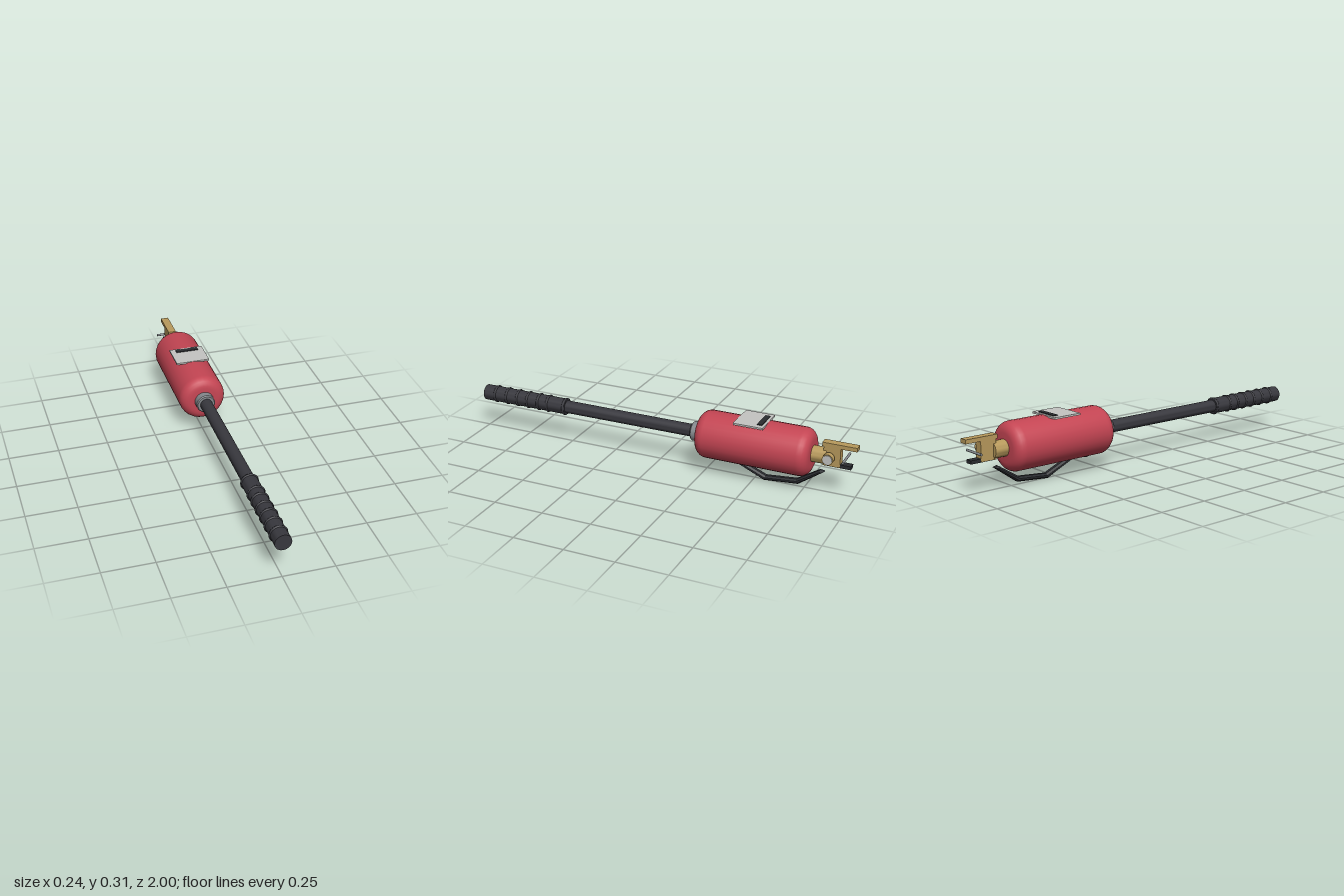
import * as THREE from 'three';
import { toCreasedNormals } from 'three/addons/utils/BufferGeometryUtils.js';

const AXIS_Y = 0.185;

function mat(name, color) {
  const m = new THREE.MeshStandardMaterial({ color });
  m.name = name;
  return m;
}

export function createModel() {
  const group = new THREE.Group();
  const red = mat('red paint', 0xc44553);
  const brass = mat('brass', 0xb89a5c);
  const rubber = mat('dark rubber', 0x38383e);
  const black = mat('black metal', 0x2a2c30);
  const steel = mat('steel', 0x85898d);
  const pale = mat('pale plate', 0xc4c4c2);

  const add = (name, geo, material, x = 0, y = 0, z = 0) => {
    const mesh = new THREE.Mesh(geo, material);
    mesh.name = name;
    mesh.position.set(x, y, z);
    group.add(mesh);
    return mesh;
  };
  const box = (name, material, x0, x1, y0, y1, z0, z1) =>
    add(name, new THREE.BoxGeometry(x1 - x0, y1 - y0, z1 - z0), material,
      (x0 + x1) / 2, (y0 + y1) / 2, (z0 + z1) / 2);
  // Turned part on the long axis; profile is [radius, z] with rising z
  const turned = (name, material, profile, segments = 24) => {
    const geo = new THREE.LatheGeometry(profile.map(p => new THREE.Vector2(...p)), segments);
    geo.rotateX(Math.PI / 2);
    return add(name, toCreasedNormals(geo, 0.6), material, 0, AXIS_Y, 0);
  };
  // Round bar lying across the model
  const crossBar = (name, material, r, x0, x1, y, z) => {
    const geo = new THREE.CylinderGeometry(r, r, x1 - x0, 20);
    geo.rotateZ(-Math.PI / 2);
    return add(name, geo, material, (x0 + x1) / 2, y, z);
  };

  // Tank with rounded shoulders
  const tank = [[0, -0.785]];
  const corner = 0.05, R = 0.118;
  for (let i = 0; i <= 6; i++) {
    const a = (i / 6) * Math.PI / 2;
    tank.push([R - corner + corner * Math.sin(a), -0.785 + corner * (1 - Math.cos(a))]);
  }
  for (let i = 0; i <= 6; i++) {
    const a = (i / 6) * Math.PI / 2;
    tank.push([R - corner + corner * Math.cos(a), -0.212 - corner * (1 - Math.sin(a))]);
  }
  tank.push([0, -0.212]);
  turned('tank', red, tank, 28);

  // Hose, its collar and ribbed grip
  turned('hoseCollar', steel, [[0, -0.22], [0.048, -0.22], [0.048, -0.178], [0.043, -0.172], [0, -0.172]]);
  turned('hose', rubber, [[0, -0.18], [0.031, -0.18], [0.032, 0.54], [0, 0.54]]);
  turned('grip', rubber, [[0, 0.525], [0.04, 0.525], [0.04, 1], [0, 1]]);
  for (const z of [0.533, 0.628, 0.682, 0.745, 0.805, 0.868, 0.935]) {
    const ring = new THREE.TorusGeometry(0.038, 0.007, 8, 24);
    add('gripRing', ring, rubber, 0, AXIS_Y, z);
  }

  // Valve: neck, block and upper lever
  turned('valveNeck', brass, [[0, -0.855], [0.04, -0.855], [0.04, -0.78], [0, -0.78]]);
  box('valveBlock', brass, -0.02, 0.02, 0.145, 0.245, -0.922, -0.84);
  box('upperLever', brass, -0.02, 0.02, 0.24, 0.26, -1, -0.832);
  box('lowerLever', black, -0.018, 0.018, 0.143, 0.16, -0.975, -0.84);
  crossBar('safetyPin', steel, 0.006, -0.058, 0.058, 0.19, -0.945);

  // Pressure gauge on the left side
  crossBar('gaugeStem', brass, 0.012, 0.015, 0.04, 0.195, -0.873);
  crossBar('gauge', brass, 0.027, 0.036, 0.064, 0.195, -0.873);
  crossBar('gaugeFace', pale, 0.023, 0.063, 0.067, 0.195, -0.873);

  // Top plate with dark strip
  box('topPlate', pale, -0.086, 0.086, 0.295, 0.304, -0.56, -0.412);
  box('topPlateStrip', black, -0.058, 0.058, 0.302, 0.308, -0.547, -0.522);

  // Bent carrying handle beneath the tank, with chamfered edges
  const side = new THREE.Shape([
    [-0.39, 0.077], [-0.55, 0.008], [-0.718, 0.022], [-0.835, 0.1],
    [-0.825, 0.1], [-0.714, 0.03], [-0.555, 0.016], [-0.41, 0.077],
  ].map(p => new THREE.Vector2(-p[0], p[1])));
  const handle = new THREE.ExtrudeGeometry(side, {
    depth: 0.016, bevelEnabled: true, bevelSize: 0.008, bevelThickness: 0.01, bevelSegments: 1,
  });
  handle.translate(0, 0, -0.008);
  handle.rotateY(Math.PI / 2);
  add('handle', handle, black);

  // Small lug under the front of the tank
  add('lug', new THREE.CylinderGeometry(0.012, 0.012, 0.014, 16), black, 0, 0.069, -0.315);

  return group;
}
